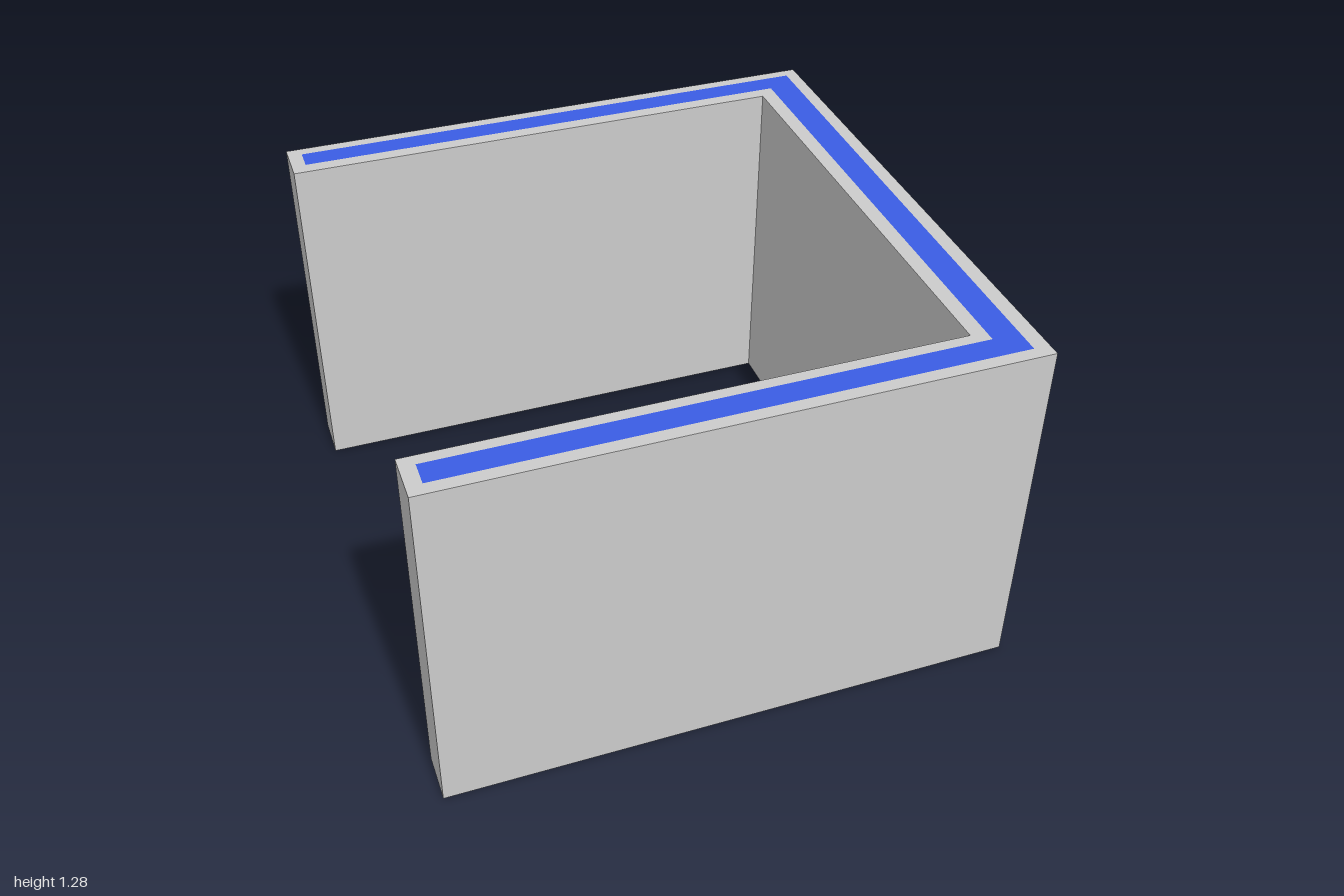
import * as THREE from 'three';

const HEIGHT = 1.28;

// Plan outlines as [x, z] corners, running round the U that opens to -x
const WALL_PLAN = [[-1, 1], [1, 1], [1, -1], [-1, -1], [-1, -0.83], [0.8, -0.83], [0.795, 0.83], [-1, 0.83]];
const CORE_PLAN = [[-0.95, 0.955], [0.945, 0.955], [0.955, -0.96], [-0.95, -0.96],
  [-0.95, -0.88], [0.855, -0.88], [0.85, 0.87], [-0.95, 0.87]];

const toPoints = (plan) => plan.map(([x, z]) => new THREE.Vector2(x, -z));

// Raise a plan shape from the ground to the full height
function extrudePlan(name, shape, color) {
  const geometry = new THREE.ExtrudeGeometry(shape, { depth: HEIGHT, bevelEnabled: false });
  geometry.rotateX(-Math.PI / 2);
  const mesh = new THREE.Mesh(geometry, new THREE.MeshStandardMaterial({ color }));
  mesh.name = name;
  return mesh;
}

export function createModel() {
  const group = new THREE.Group();
  group.name = 'threeSidedWall';

  // Outer skin of the wall, hollow where the core sits
  const skin = new THREE.Shape(toPoints(WALL_PLAN));
  skin.holes.push(new THREE.Path(toPoints(CORE_PLAN)));
  group.add(extrudePlan('wallSkin', skin, 0xcccccc));

  // Blue core, flush with the skin at top and bottom
  group.add(extrudePlan('wallCore', new THREE.Shape(toPoints(CORE_PLAN)), 0x3a5ce4));

  return group;
}
